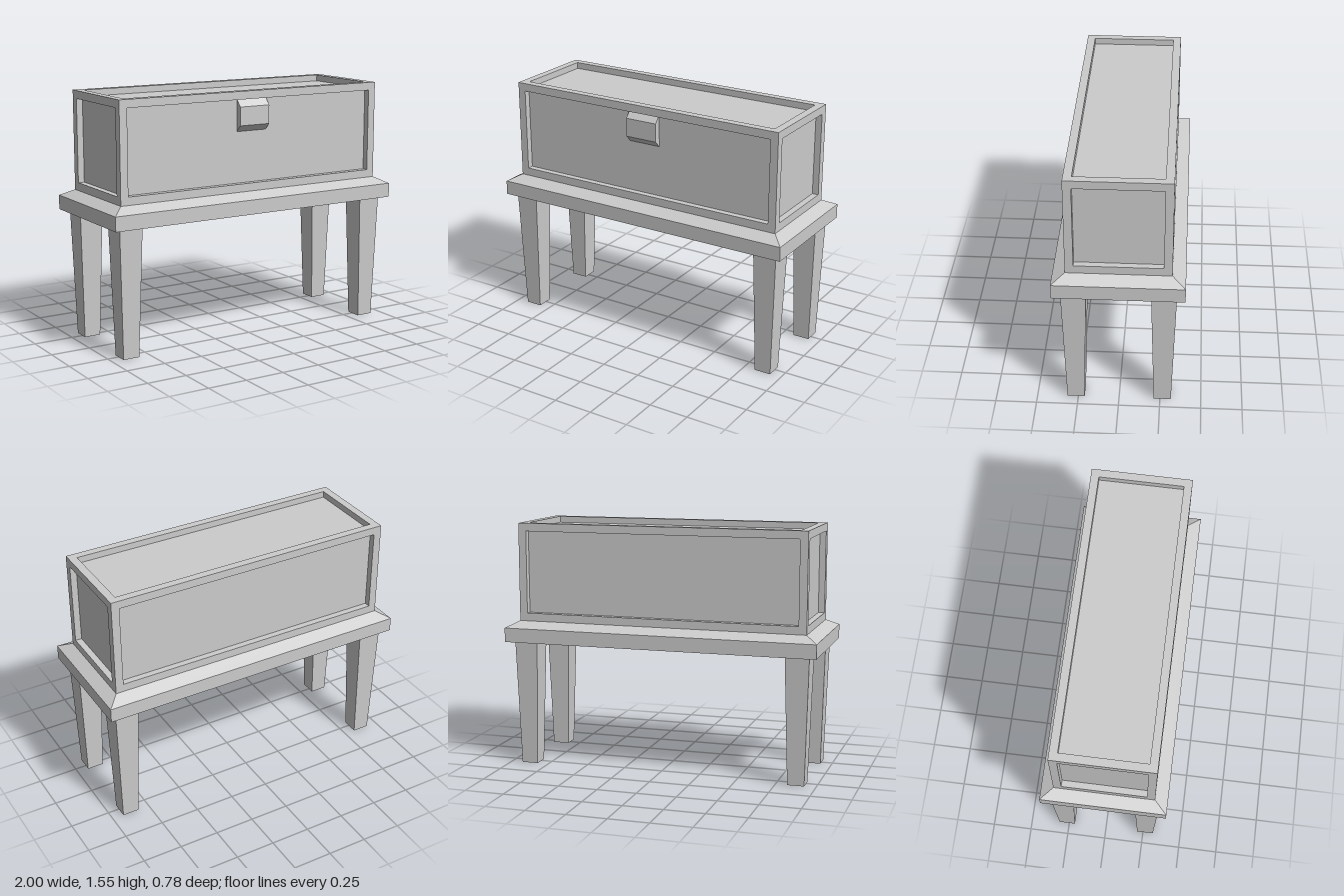
import * as THREE from 'three';

const material = new THREE.MeshStandardMaterial({ color: 0xcccccc, flatShading: true });

function add(parent, name, geometry, x = 0, y = 0, z = 0) {
  const mesh = new THREE.Mesh(geometry, material);
  mesh.name = name;
  mesh.position.set(x, y, z);
  parent.add(mesh);
  return mesh;
}

// Box standing on y = 0 whose top is resized to topW x topD
function taperedBox(w, d, topW, topD, h) {
  const g = new THREE.BoxGeometry(w, h, d).translate(0, h / 2, 0);
  const p = g.attributes.position;
  for (let i = 0; i < p.count; i++) {
    if (p.getY(i) > h / 2) {
      p.setX(i, Math.sign(p.getX(i)) * topW / 2);
      p.setZ(i, Math.sign(p.getZ(i)) * topD / 2);
    }
  }
  g.computeVertexNormals();
  return g;
}

export function createModel() {
  const model = new THREE.Group();
  model.name = 'chestOnLegs';

  const W = 1.85, D = 0.62, bottom = 0.93, top = 1.55; // chest outer size
  const bar = 0.05, recess = 0.04;
  const H = top - bottom, midY = (top + bottom) / 2;

  // Tapered legs
  for (const x of [-0.875, 0.875])
    for (const z of [-0.264, 0.264])
      add(model, 'leg', taperedBox(0.105, 0.105, 0.15, 0.15, 0.8), x, 0, z);

  // Table top with a sloped upper edge
  const table = new THREE.Group();
  table.name = 'tableTop';
  model.add(table);
  add(table, 'slab', new THREE.BoxGeometry(2, 0.09, 0.776), 0, 0.845, 0);
  add(table, 'slopedEdge', taperedBox(2, 0.776, W, D, 0.04), 0, 0.89, 0);

  // Recessed panels of the chest
  add(model, 'chestPanels',
    new THREE.BoxGeometry(W - 2 * recess, H - 2 * recess, D - 2 * recess), 0, midY, 0);

  // Frame of square bars along the chest edges
  const frame = new THREE.Group();
  frame.name = 'chestFrame';
  model.add(frame);
  const fx = (W - bar) / 2, fy = (H - bar) / 2, fz = (D - bar) / 2;
  for (const a of [-1, 1]) {
    for (const b of [-1, 1]) {
      add(frame, 'cornerPost', new THREE.BoxGeometry(bar, H, bar), a * fx, midY, b * fz);
      add(frame, 'longRail', new THREE.BoxGeometry(W - 2 * bar, bar, bar), 0, midY + a * fy, b * fz);
      add(frame, 'shortRail', new THREE.BoxGeometry(bar, bar, D - 2 * bar), a * fx, midY + b * fy, 0);
    }
  }

  // Latch on the front, chamfered above and below (profile is depth, height)
  const profile = [[0.26, 1.3], [0.27, 1.3], [0.31, 1.34], [0.31, 1.455], [0.27, 1.5], [0.26, 1.5]];
  const shape = new THREE.Shape(profile.map(([z, y]) => new THREE.Vector2(z, y)));
  const latch = new THREE.ExtrudeGeometry(shape, { depth: 0.21, bevelEnabled: false });
  latch.translate(0, 0, -0.105).rotateY(-Math.PI / 2);
  add(model, 'latch', latch);

  return model;
}
